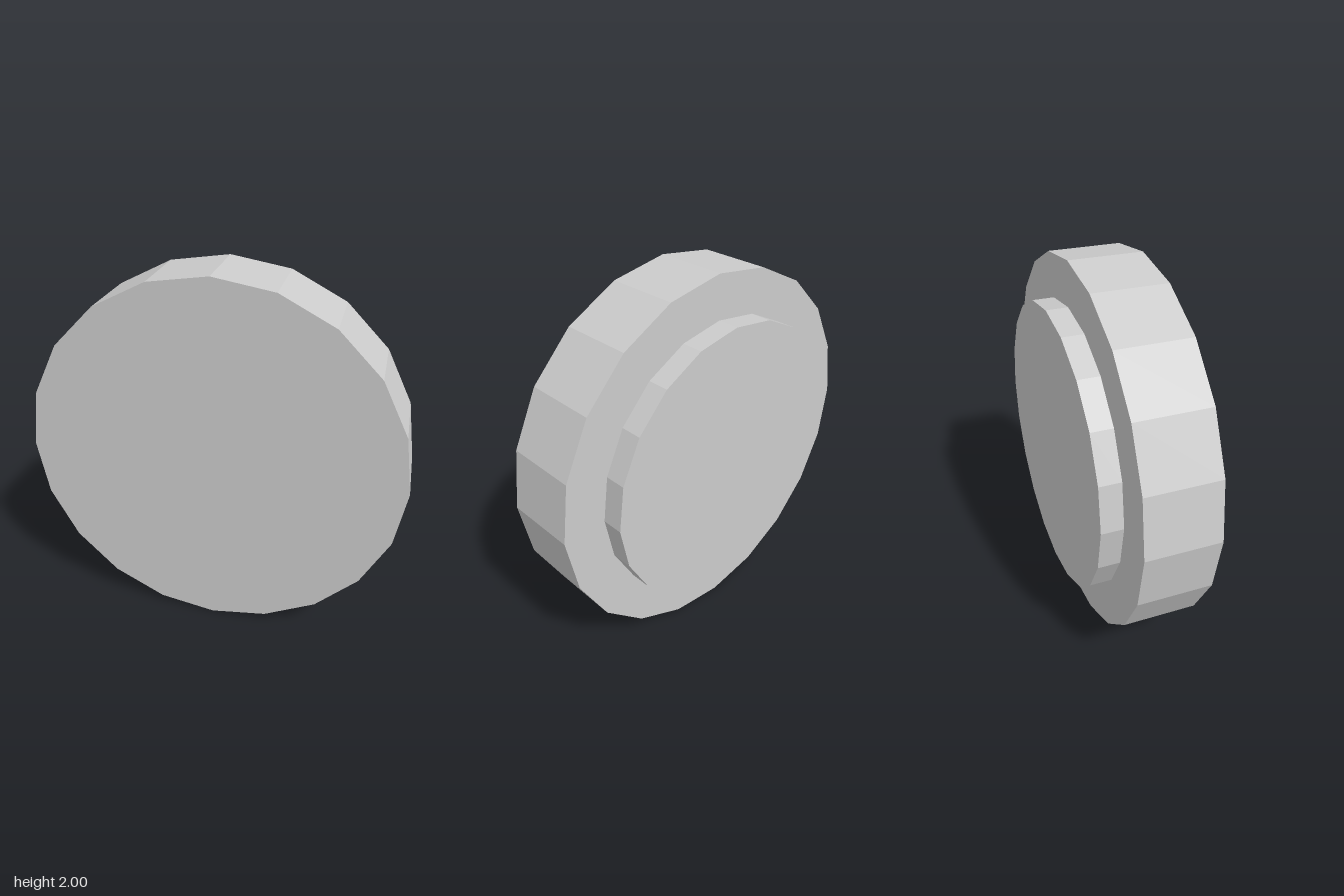
import * as THREE from 'three';

const SIDES = 20;
const material = new THREE.MeshStandardMaterial({ color: 0xcccccc, flatShading: true });

// Faceted disc whose axis runs along z, from zBack to zFront
function disc(name, radius, zBack, zFront) {
  const geometry = new THREE.CylinderGeometry(radius, radius, zFront - zBack, SIDES);
  geometry.rotateX(Math.PI / 2);
  const mesh = new THREE.Mesh(geometry, material);
  mesh.name = name;
  mesh.position.set(0, 1, (zBack + zFront) / 2);
  return mesh;
}

export function createModel() {
  const model = new THREE.Group();
  model.name = 'steppedDisc';
  // Wide front disc and the narrower raised step behind it
  model.add(disc('frontDisc', 1, -0.134, 0.247));
  model.add(disc('backStep', 0.77, -0.247, -0.134));
  return model;
}
